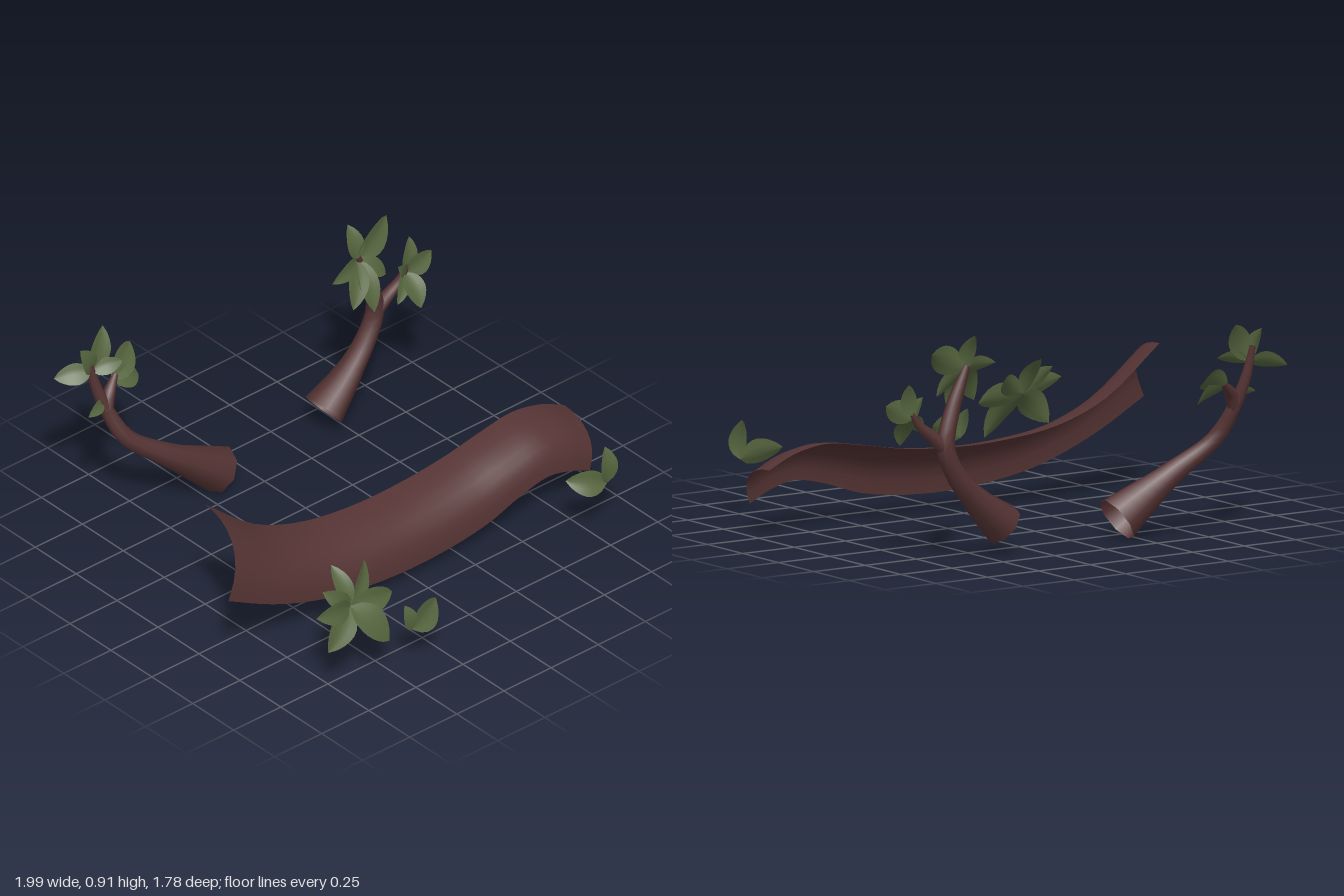
import * as THREE from 'three';

const V = (p) => new THREE.Vector3(...p);
const curve = (pts) => new THREE.CatmullRomCurve3(pts.map(V));

const bark = new THREE.MeshStandardMaterial({ color: 0x563434, side: THREE.DoubleSide });
bark.name = 'bark';
const foliage = new THREE.MeshStandardMaterial({ color: 0x56663f, side: THREE.DoubleSide });
foliage.name = 'leafGreen';

function mesh(geo, mat, name) {
  const m = new THREE.Mesh(geo, mat);
  m.name = name;
  return m;
}

// Moves each vertex of a flat grid by rule(u, v), v running from top to bottom
function sheet(cols, rows, rule) {
  const geo = new THREE.PlaneGeometry(1, 1, cols, rows);
  const pos = geo.attributes.position;
  for (let i = 0; i < pos.count; i++) {
    const p = rule(pos.getX(i) + 0.5, 0.5 - pos.getY(i));
    pos.setXYZ(i, p.x, p.y, p.z);
  }
  geo.computeVertexNormals();
  return geo;
}

// Bough: quarter-round shell swept between its upper and lower edges
function bough() {
  const upper = curve([
    [-0.88, 0.635, 0.145], [-0.63, 0.435, 0.16], [-0.4, 0.345, 0.17], [-0.15, 0.31, 0.18], [0.1, 0.305, 0.18],
    [0.35, 0.325, 0.18], [0.55, 0.36, 0.18], [0.72, 0.382, 0.18], [0.87, 0.355, 0.185], [0.99, 0.3, 0.19]]);
  const lower = curve([
    [-1, 0.365, 0.43], [-0.75, 0.235, 0.425], [-0.47, 0.135, 0.42], [-0.18, 0.088, 0.42], [0.1, 0.08, 0.42],
    [0.38, 0.112, 0.42], [0.56, 0.17, 0.42], [0.71, 0.198, 0.42], [0.83, 0.17, 0.42], [0.93, 0.125, 0.415]]);
  return sheet(36, 8, (u, v) => {
    const a = upper.getPoint(u), b = lower.getPoint(u);
    const drop = 1 - Math.pow(Math.max(0, Math.cos(v * Math.PI / 2)), 0.8);
    const out = Math.sin(v * Math.PI / 2);
    return new THREE.Vector3(
      THREE.MathUtils.lerp(a.x, b.x, drop),
      THREE.MathUtils.lerp(a.y, b.y, drop),
      THREE.MathUtils.lerp(a.z, b.z, out));
  });
}

// Open tapering limb; radii are spread evenly along the path
function limb(pts, radii, segs = 18, sides = 8) {
  const path = curve(pts);
  const geo = new THREE.TubeGeometry(path, segs, 1, sides);
  const pos = geo.attributes.position;
  const p = new THREE.Vector3();
  for (let i = 0; i < pos.count; i++) {
    const u = Math.floor(i / (sides + 1)) / segs;
    const k = u * (radii.length - 1), j = Math.min(Math.floor(k), radii.length - 2);
    const r = THREE.MathUtils.lerp(radii[j], radii[j + 1], k - j);
    const c = path.getPointAt(u);
    p.fromBufferAttribute(pos, i).sub(c).multiplyScalar(r).add(c);
    pos.setXYZ(i, p.x, p.y, p.z);
  }
  return geo;
}

// Oval leaf from base to tip, folded along the midrib and gently arched
function leaf(base, tip, width, facing) {
  const dir = tip.clone().sub(base);
  const side = dir.clone().cross(facing).normalize();
  const up = side.clone().cross(dir).normalize();
  const len = dir.length();
  return sheet(4, 8, (u, v) => {
    const c = u * 2 - 1;
    const half = width / 2 * Math.pow(Math.max(0, Math.sin(Math.PI * Math.pow(v, 0.85))), 0.75);
    return base.clone().addScaledVector(dir, v)
      .addScaledVector(side, c * half)
      .addScaledVector(up, Math.abs(c) * half * 0.25 + Math.sin(Math.PI * v) * len * 0.08);
  });
}

// Spray of leaves; each entry is [tip x, y, z, width]
function spray(name, base, facing, tips) {
  const g = new THREE.Group();
  g.name = name;
  const b = V(base);
  for (const [x, y, z, w] of tips) {
    const tip = new THREE.Vector3(x, y, z);
    const n = V(facing);
    n.x += (x - b.x) * 1.5;
    g.add(mesh(leaf(b, tip, w, n), foliage, 'leaf'));
  }
  return g;
}

export function createModel() {
  const model = new THREE.Group();
  model.name = 'branches';
  model.add(mesh(bough(), bark, 'bough'));

  // Rear right limb with its fork
  model.add(mesh(limb(
    [[-0.16, 0.1, -0.595], [-0.28, 0.18, -0.605], [-0.42, 0.275, -0.625], [-0.58, 0.4, -0.68],
      [-0.635, 0.53, -0.735], [-0.67, 0.66, -0.77], [-0.69, 0.78, -0.785]],
    [0.1, 0.08, 0.058, 0.045, 0.037, 0.034, 0.028, 0.022, 0.013]), bark, 'rightLimb'));
  model.add(mesh(limb(
    [[-0.635, 0.53, -0.735], [-0.61, 0.585, -0.75], [-0.55, 0.64, -0.78]],
    [0.03, 0.026, 0.012], 8), bark, 'rightFork'));

  // Rear left limb with its fork
  model.add(mesh(limb(
    [[0.4, 0.135, -0.6], [0.52, 0.235, -0.605], [0.635, 0.36, -0.615], [0.69, 0.48, -0.62],
      [0.655, 0.62, -0.61], [0.575, 0.8, -0.6]],
    [0.09, 0.068, 0.05, 0.042, 0.038, 0.034, 0.028, 0.014]), bark, 'leftLimb'));
  model.add(mesh(limb(
    [[0.685, 0.47, -0.62], [0.75, 0.53, -0.61], [0.8, 0.57, -0.605], [0.84, 0.63, -0.6]],
    [0.034, 0.028, 0.022, 0.01], 8), bark, 'leftFork'));

  // Leaves on the rear right limb
  model.add(spray('rightTopLeaves', [-0.68, 0.715, -0.775], [0, 0.6, 0.8], [
    [-0.59, 0.88, -0.81, 0.1], [-0.745, 0.845, -0.77, 0.09],
    [-0.555, 0.735, -0.73, 0.07], [-0.815, 0.7, -0.85, 0.09]]));
  model.add(spray('rightForkLeaves', [-0.575, 0.625, -0.775], [0, 0.6, 0.8], [
    [-0.385, 0.675, -0.88, 0.11], [-0.41, 0.57, -0.8, 0.1]]));
  model.add(spray('rightSideLeaf', [-0.645, 0.57, -0.745], [0, 0.5, 0.9], [
    [-0.77, 0.575, -0.69, 0.05]]));

  // Leaves on the rear left limb
  model.add(spray('leftTopLeaves', [0.575, 0.785, -0.6], [0, 0.3, 1], [
    [0.57, 0.93, -0.65, 0.085], [0.785, 0.875, -0.66, 0.12], [0.385, 0.785, -0.53, 0.07],
    [0.47, 0.635, -0.5, 0.1], [0.575, 0.585, -0.49, 0.1], [0.695, 0.68, -0.56, 0.08]]));
  model.add(spray('leftForkLeaves', [0.83, 0.61, -0.6], [0, 0.3, 1], [
    [0.955, 0.67, -0.58, 0.1], [0.87, 0.755, -0.62, 0.08], [0.76, 0.685, -0.56, 0.06],
    [0.83, 0.485, -0.5, 0.1], [0.73, 0.53, -0.53, 0.06]]));

  // Leaves in front of the bough
  model.add(spray('frontRightLeaves', [-0.65, 0.36, 0.77], [0, 0.3, 1], [
    [-0.665, 0.515, 0.67, 0.085], [-0.47, 0.445, 0.65, 0.09], [-0.435, 0.34, 0.78, 0.11],
    [-0.52, 0.18, 0.86, 0.13], [-0.8, 0.22, 0.81, 0.12], [-0.855, 0.405, 0.8, 0.1],
    [-0.77, 0.465, 0.74, 0.08]]));
  model.add(spray('frontMiddleLeaves', [-0.41, 0.19, 0.87], [0, 0.3, 1], [
    [-0.255, 0.26, 0.84, 0.13], [-0.435, 0.31, 0.855, 0.07]]));
  model.add(spray('frontLeftLeaves', [0.8, 0.255, 0.67], [0, 0.3, 1], [
    [0.64, 0.3, 0.6, 0.11], [0.805, 0.42, 0.65, 0.09]]));
  return model;
}
